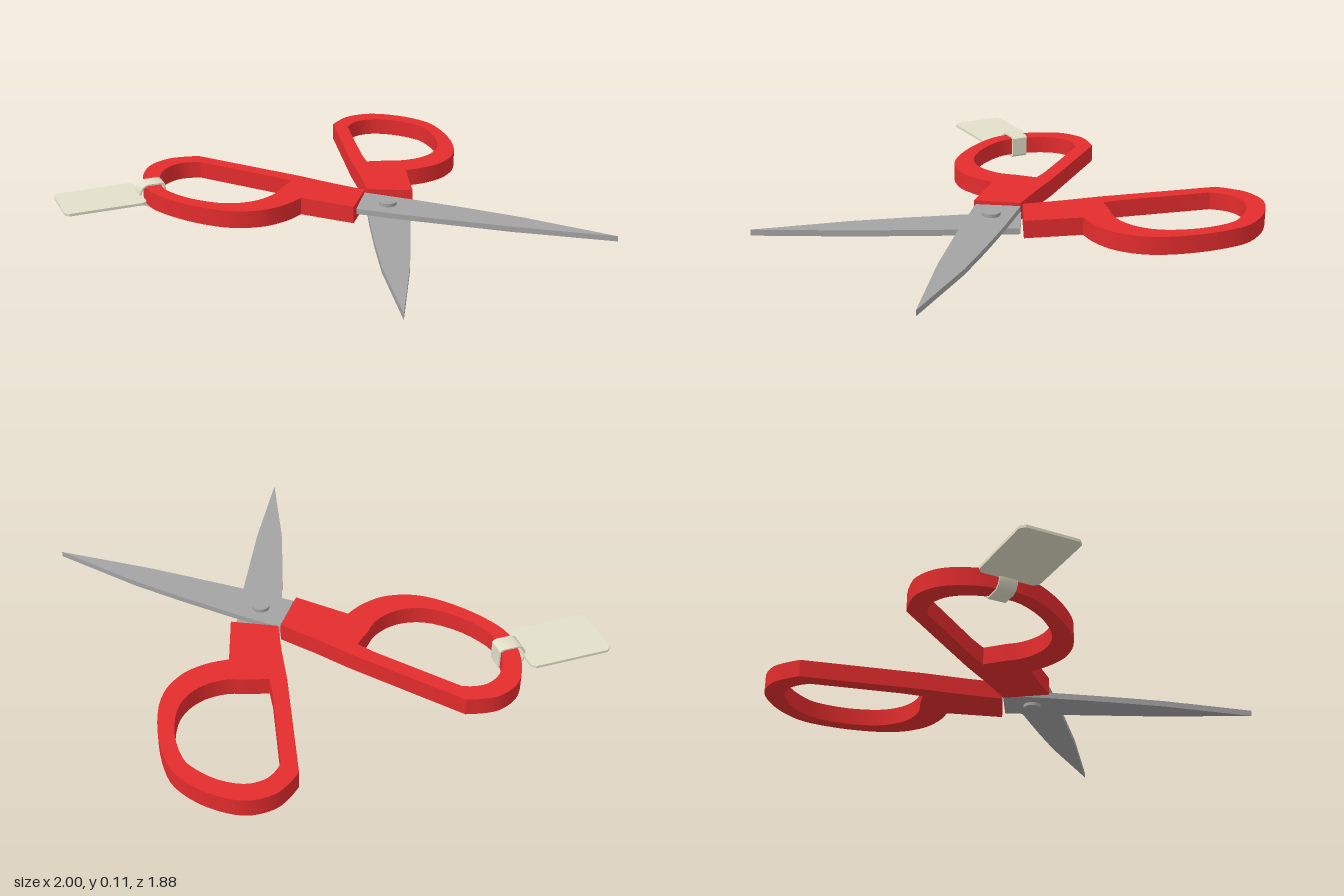
import * as THREE from 'three';
import { toCreasedNormals } from 'three/addons/utils/BufferGeometryUtils.js';

const TAG_ANGLE = -0.227;

const toVectors = (points, sign) => points.map(([a, b]) => new THREE.Vector2(a, sign * b));
// Reversed so that the mirrored outline keeps its turning direction
const mirror = (points, axis) => points.map(([x, z]) => [2 * axis - x, z]).reverse();
const smooth = (points, count) =>
  new THREE.SplineCurve(toVectors(points, 1)).getPoints(count).map((p) => [p.x, p.y]);

// Outlines in plan, as [x, z]
const HANDLE = [
  [0.031, 0.058], [0.19, -0.075], [0.115, -0.23], [0.043, -0.395],
  ...smooth([
    [-0.2, -0.887], [-0.265, -0.92], [-0.337, -0.94], [-0.43, -0.921], [-0.503, -0.863],
    [-0.57, -0.762], [-0.607, -0.642], [-0.598, -0.535], [-0.552, -0.395], [-0.482, -0.268],
    [-0.406, -0.188], [-0.32, -0.145], [-0.257, -0.134], [-0.176, -0.139], [-0.1, -0.161],
  ], 42),
];
const FINGER_HOLE = [
  [-0.02, -0.358], [-0.055, -0.445],
  ...smooth([
    [-0.235, -0.81], [-0.28, -0.838], [-0.337, -0.852], [-0.41, -0.831], [-0.48, -0.762],
    [-0.527, -0.666], [-0.54, -0.583], [-0.505, -0.45], [-0.433, -0.332], [-0.353, -0.272],
    [-0.262, -0.252], [-0.17, -0.27], [-0.107, -0.31],
  ], 36),
];
const BLADE = [
  [0.19, -0.075], [0.329, 0.14], [0.46, 0.355], [0.578, 0.56], [0.763, 0.94],
  [0.47, 0.607], [0.353, 0.46], [0.19, 0.255], [0.045, 0.058],
];
const TAG = [
  [-0.167, -0.129], [0.167, -0.129], [0.186, -0.11], [0.186, 0.11],
  [0.167, 0.129], [-0.167, 0.129], [-0.186, 0.11], [-0.186, -0.11],
];
// Cross-section of the band, as [along, y]
const BAND = [
  [-0.068, 0.053], [-0.062, 0.077], [-0.05, 0.096], [-0.03, 0.106], [0.043, 0.106],
  [0.056, 0.096], [0.056, 0.01], [0.043, 0], [-0.03, 0], [-0.05, 0.01], [-0.062, 0.029],
];
const BAND_INSIDE = BAND.map(([a, y]) => [-0.005 + 0.87 * (a + 0.005), 0.053 + 0.87 * (y - 0.053)]);

// Flat plate cut to an outline, from height y0 to y1
function plate(outline, y0, y1, hole) {
  const shape = new THREE.Shape(toVectors(outline, -1));
  if (hole) shape.holes.push(new THREE.Path(toVectors(hole, -1)));
  const geometry = new THREE.ExtrudeGeometry(shape, { depth: y1 - y0, bevelEnabled: false });
  geometry.rotateX(-Math.PI / 2).translate(0, y0, 0);
  return toCreasedNormals(geometry, 0.45);
}

// Hollow strip wrapped round the handle
function strip(width) {
  const shape = new THREE.Shape(toVectors(BAND, 1));
  shape.holes.push(new THREE.Path(toVectors(BAND_INSIDE, 1).reverse()));
  const geometry = new THREE.ExtrudeGeometry(shape, { depth: width, bevelEnabled: false });
  geometry.translate(0, 0, -width / 2);
  return toCreasedNormals(geometry, 0.75);
}

export function createModel() {
  const model = new THREE.Group();
  model.name = 'scissors';
  const material = (name, color) => {
    const m = new THREE.MeshStandardMaterial({ color });
    m.name = name;
    return m;
  };
  const red = material('red plastic', 0xe32c2d);
  const steel = material('steel', 0xa3a3a3);
  const card = material('tag card', 0xe2dfc8);

  const add = (name, geometry, mat) => {
    const mesh = new THREE.Mesh(geometry, mat);
    mesh.name = name;
    model.add(mesh);
    return mesh;
  };

  // Two mirrored handles
  add('rightHandle', plate(HANDLE, 0.013, 0.092, FINGER_HOLE), red);
  add('leftHandle', plate(mirror(HANDLE, 0.196), 0.013, 0.092, mirror(FINGER_HOLE, 0.196)), red);

  // Crossing blades, one above the other
  add('upperBlade', plate(BLADE, 0.054, 0.078), steel);
  add('lowerBlade', plate(mirror(BLADE, 0.192), 0.025, 0.052), steel);

  // Pivot screw through both blades
  const screw = new THREE.CylinderGeometry(0.039, 0.039, 0.084, 32);
  add('pivotScrew', screw, steel).position.set(0.191, 0.052, 0.094);

  // Hanging tag
  const tag = add('tag', plate(TAG, 0.047, 0.059), card);
  tag.position.set(-0.794, 0, -0.754);
  tag.rotation.y = TAG_ANGLE;

  // Band that holds the tag on the handle
  const band = add('tagBand', strip(0.078), card);
  band.position.set(-0.56, 0, -0.698);
  band.rotation.y = TAG_ANGLE;

  return model;
}
